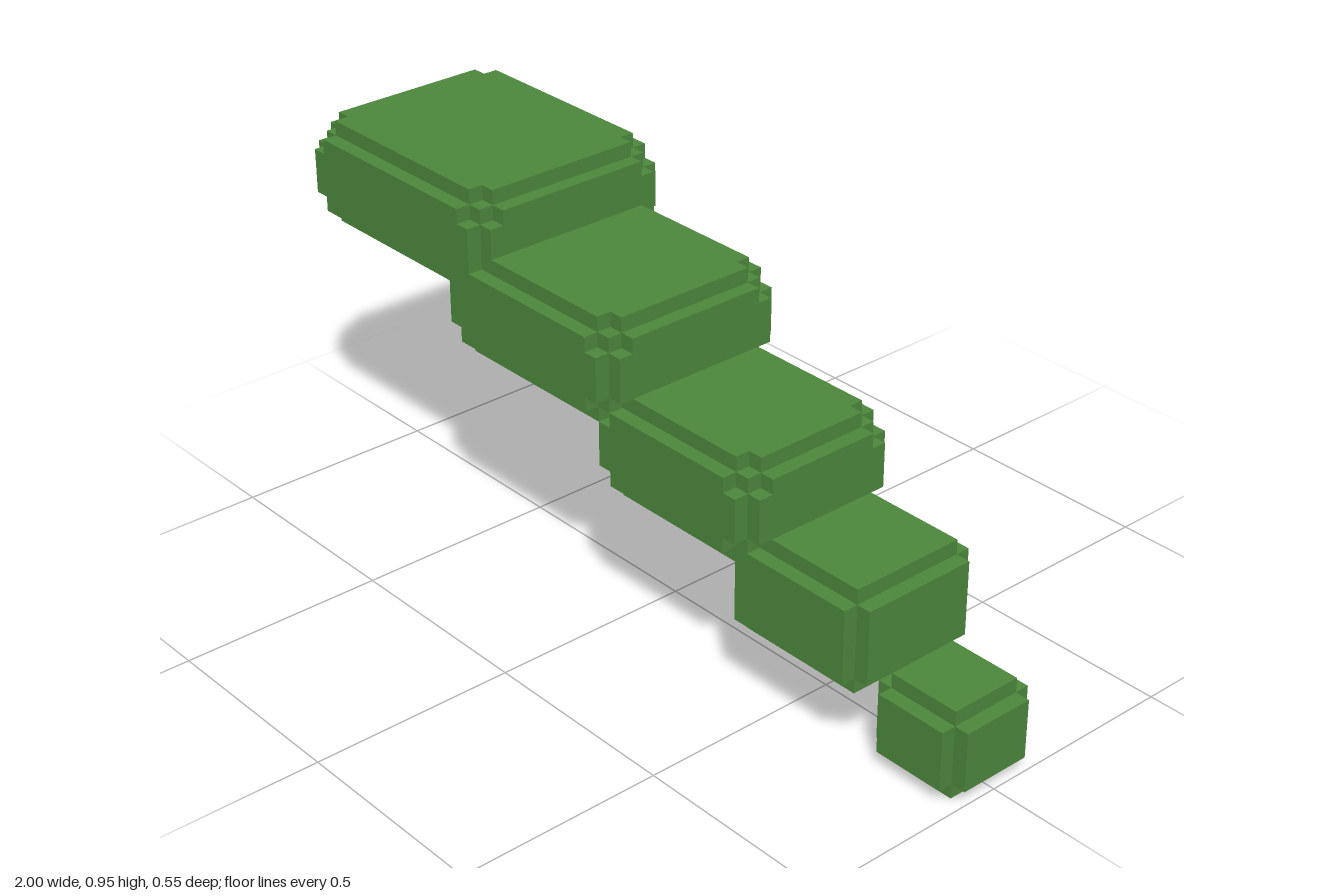
import * as THREE from 'three';

const U = 2 / 55; // size of one block unit

// Rectangle centred on the origin, with an optional one-unit notch in each corner
function notchedRect(w, h, notch) {
  const a = w / 2, b = h / 2, n = notch;
  const pts = n
    ? [[-a + n, -b], [a - n, -b], [a - n, -b + n], [a, -b + n], [a, b - n], [a - n, b - n],
       [a - n, b], [-a + n, b], [-a + n, b - n], [-a, b - n], [-a, -b + n], [-a + n, -b + n]]
    : [[-a, -b], [a, -b], [a, b], [-a, b]];
  return new THREE.Shape(pts.map(([x, y]) => new THREE.Vector2(x, y)));
}

// Prism centred on the origin and running along z
function prism(w, h, length, notch) {
  return new THREE.ExtrudeGeometry(notchedRect(w, h, notch), { depth: length, bevelEnabled: false })
    .translate(0, 0, -length / 2);
}

// Block with stepped edges: one prism per axis, plus a core that fills the notched corners
function steppedBlock(name, sx, sy, sz, notch, material) {
  const block = new THREE.Group();
  block.name = name;
  const add = (part, geometry) => {
    const mesh = new THREE.Mesh(geometry, material);
    mesh.name = part;
    block.add(mesh);
  };
  add('lengthPrism', prism(sz - 2, sy - 2, sx, notch).rotateY(Math.PI / 2));
  add('heightPrism', prism(sx - 2, sz - 2, sy, notch).rotateX(Math.PI / 2));
  add('widthPrism', prism(sx - 2, sy - 2, sz, notch));
  if (notch) add('core', new THREE.BoxGeometry(sx - 2, sy - 2, sz - 2));
  return block;
}

export function createModel() {
  const model = new THREE.Group();
  model.name = 'taperingTail';
  const green = new THREE.MeshStandardMaterial({ color: 0x4c873c });
  green.name = 'leafGreen';

  // Segments from base to tip, in units: [name, x0, x1, y0, y1, z0, z1, corner notch]
  const segments = [
    ['baseSegment', 0, 18, 19, 26, 0, 15, 1],
    ['secondSegment', 14, 30, 15, 22, 1, 15, 1],
    ['middleSegment', 27, 41, 10, 17, 2, 14, 1],
    ['fourthSegment', 38, 49, 5, 12, 3, 13, 0],
    ['tipSegment', 48, 55, 0, 6, 4, 11, 0],
  ];
  for (const [name, x0, x1, y0, y1, z0, z1, notch] of segments) {
    const block = steppedBlock(name, x1 - x0, y1 - y0, z1 - z0, notch, green);
    block.scale.setScalar(U);
    block.position.set((x0 + x1) / 2 - 27.5, (y0 + y1) / 2, (z0 + z1) / 2 - 7.5).multiplyScalar(U);
    model.add(block);
  }
  return model;
}
